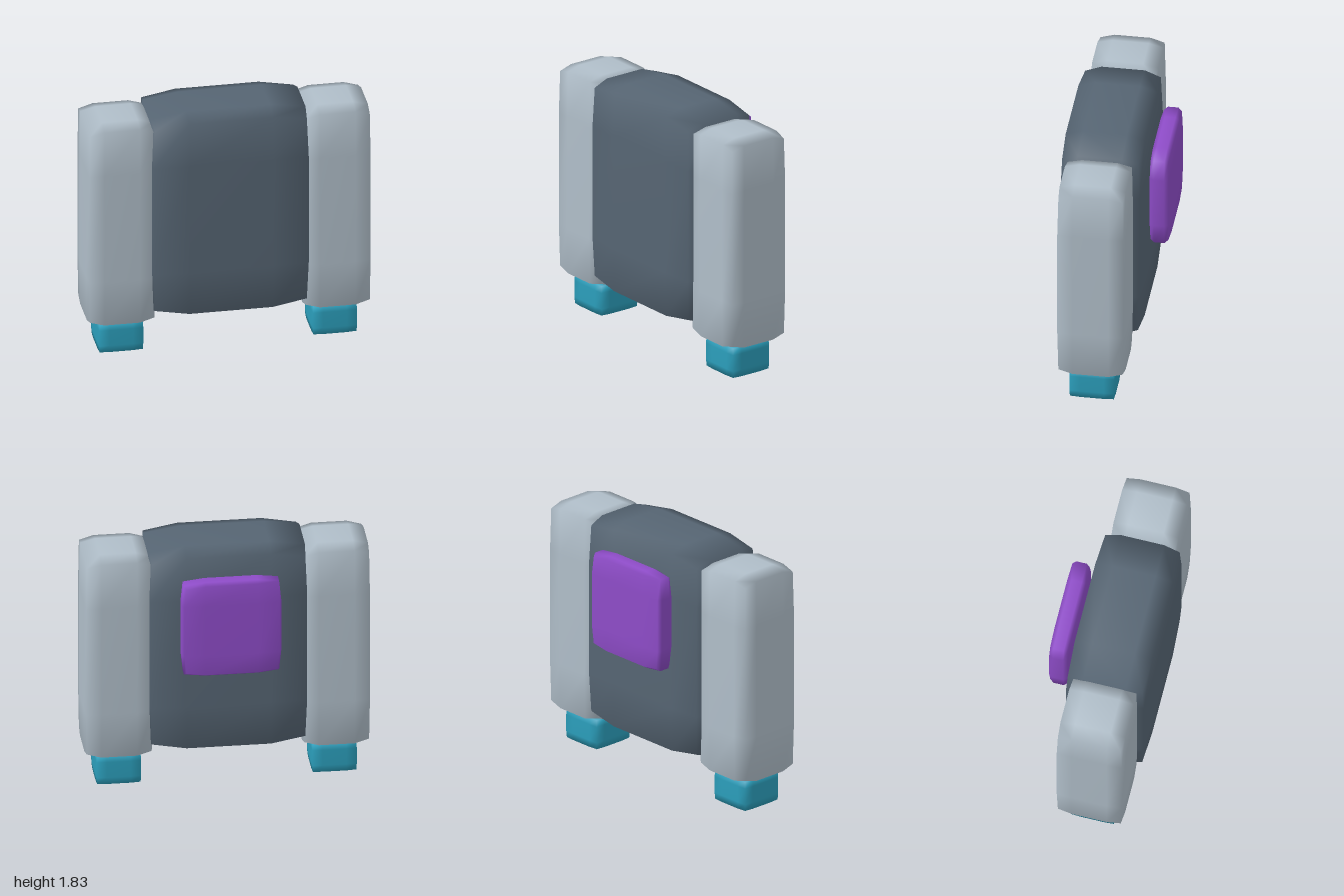
import * as THREE from 'three';
import { mergeVertices } from 'three/addons/utils/BufferGeometryUtils.js';

// Soft, slightly bulging box: three segments a side, edges and corners drawn in, smooth normals.
// inset gives, per axis, how far a point shrinks for each other axis on which it lies at the edge.
function softBox(name, color, center, half, inset) {
  let geo = new THREE.BoxGeometry(2, 2, 2, 3, 3, 3);
  geo.deleteAttribute('normal');
  geo.deleteAttribute('uv');
  geo = mergeVertices(geo, 1e-4);
  const pos = geo.attributes.position;
  for (let i = 0; i < pos.count; i++) {
    const p = [pos.getX(i), pos.getY(i), pos.getZ(i)];
    const edge = p.map((v) => (Math.abs(v) > 0.99 ? 1 : 0));
    const total = edge[0] + edge[1] + edge[2];
    const q = p.map((v, a) => {
      const u = edge[a] ? v : Math.sign(v) * 0.53;
      const others = Math.max(0, edge[a] ? total - 1 : 0);
      return u * half[a] * (1 - inset[a] * others);
    });
    pos.setXYZ(i, ...q);
  }
  geo.computeVertexNormals();
  const mesh = new THREE.Mesh(geo, new THREE.MeshStandardMaterial({ color }));
  mesh.name = name;
  mesh.position.set(...center);
  return mesh;
}

export function createModel() {
  const model = new THREE.Group();
  model.name = 'model';

  // Wide central body
  model.add(softBox('body', 0x566573, [0, 1.05, 0.08], [0.56, 0.78, 0.29], [0.02, 0.05, 0.04]));

  // Side columns, each standing on a small foot
  for (const [side, s] of [['left', 1], ['right', -1]]) {
    model.add(softBox(side + 'Column', 0xb0bec9, [s * 0.763, 1.003, 0.08], [0.237, 0.78, 0.24], [0.02, 0.035, 0.03]));
    model.add(softBox(side + 'Foot', 0x2b9ebb, [s * 0.757, 0.113, 0.082], [0.159, 0.113, 0.161], [0.02, 0.02, 0.02]));
  }

  // Floating panel behind the body
  model.add(softBox('backPanel', 0x8e4cc8, [0, 1.307, -0.305], [0.35, 0.363, 0.07], [0.045, 0.05, 0.05]));

  return model;
}
